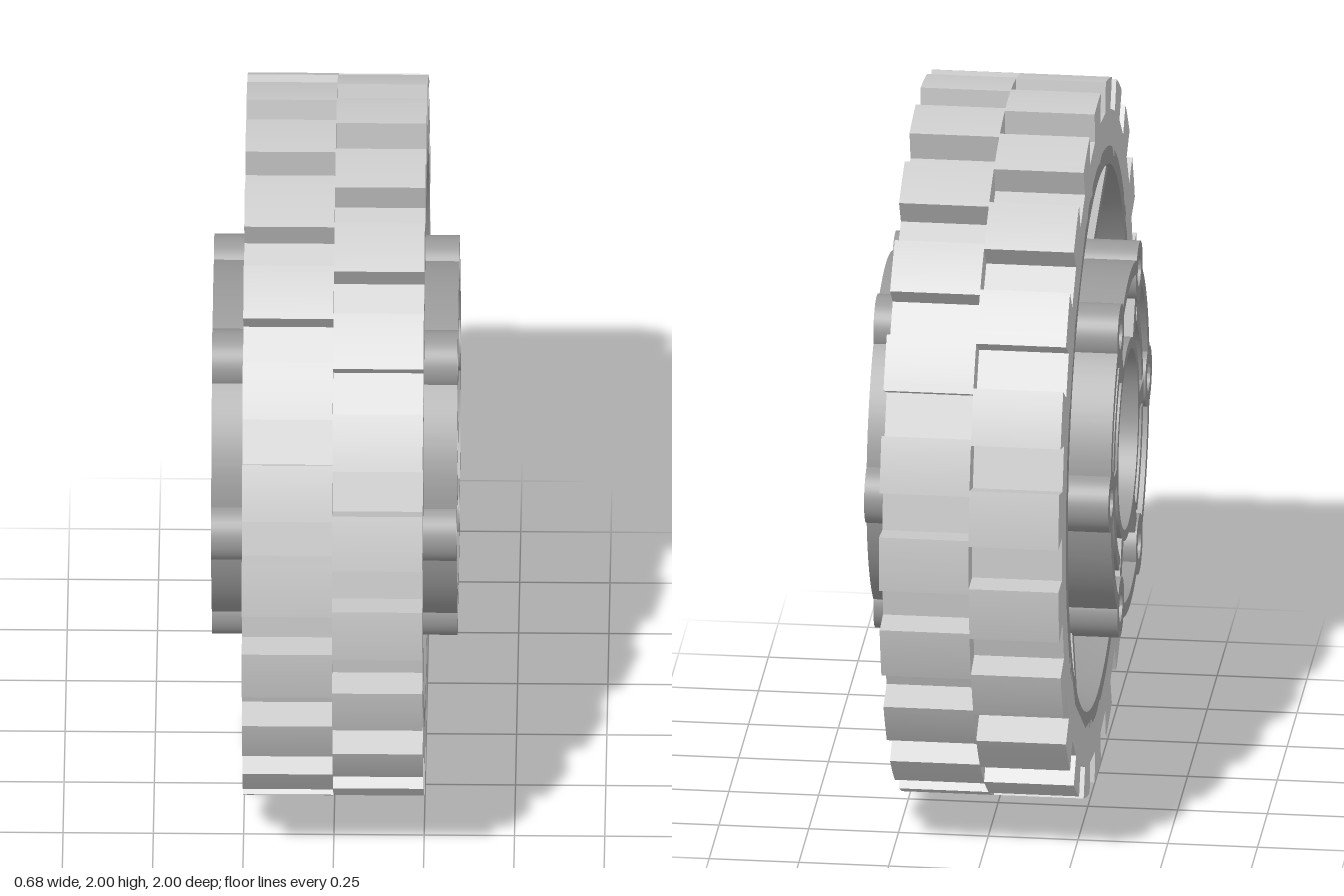
import * as THREE from 'three';
import { toCreasedNormals } from 'three/addons/utils/BufferGeometryUtils.js';

const SLOTS = 22, SIXTH = Math.PI / 3;
const tyreMat = new THREE.MeshStandardMaterial({ color: 0xcccccc });
const wheelMat = new THREE.MeshStandardMaterial({ color: 0x999999 });

// The wheel is modelled around local z and turned onto the x axis at the end.
function extrude(shape, z0, z1, curveSegments = 48) {
  const g = new THREE.ExtrudeGeometry(shape, { depth: z1 - z0, bevelEnabled: false, curveSegments });
  g.translate(0, 0, z0);
  return toCreasedNormals(g, 0.5);
}

function addMesh(parent, name, geometry, material = wheelMat) {
  const m = new THREE.Mesh(geometry, material);
  m.name = name;
  parent.add(m);
  return m;
}

function ring(ri, ro) {
  const s = new THREE.Shape();
  s.absarc(0, 0, ro, 0, Math.PI * 2, false);
  const hole = new THREE.Path();
  hole.absarc(0, 0, ri, 0, Math.PI * 2, true);
  s.holes.push(hole);
  return s;
}

function sector(ri, ro, a0, a1) {
  const s = new THREE.Shape();
  s.absarc(0, 0, ro, a0, a1, false);
  s.absarc(0, 0, ri, a1, a0, true);
  s.closePath();
  return s;
}

// One half of the tyre: a ring with square slots cut in the tread
function treadShape(offset) {
  const w = 0.063, floor = 0.91, half = Math.asin(w), pitch = Math.PI * 2 / SLOTS;
  const fr = Math.hypot(w, floor), fa = Math.atan2(w, floor);
  const s = new THREE.Shape();
  for (let i = 0; i < SLOTS; i++) {
    const a = Math.PI / 2 + offset + i * pitch;
    const p = [Math.cos(a - fa) * fr, Math.sin(a - fa) * fr];
    const q = [Math.cos(a + fa) * fr, Math.sin(a + fa) * fr];
    if (i === 0) s.moveTo(...p); else s.lineTo(...p);
    s.lineTo(...q);
    s.absarc(0, 0, 1, a + half, a + pitch - half, false);
  }
  s.closePath();
  const hole = new THREE.Path();
  hole.absarc(0, 0, 0.805, 0, Math.PI * 2, true);
  s.holes.push(hole);
  return s;
}

export function createModel() {
  const model = new THREE.Group();
  model.name = 'wheel';
  const wheel = new THREE.Group();
  wheel.name = 'wheelAssembly';
  wheel.rotation.y = Math.PI / 2;
  wheel.position.y = 1;
  model.add(wheel);

  // Tyre halves, the slots staggered by half a pitch
  addMesh(wheel, 'tyreLeftHalf', extrude(treadShape(0), 0, 0.25, 8), tyreMat);
  addMesh(wheel, 'tyreRightHalf', extrude(treadShape(Math.PI / SLOTS), -0.25, 0, 8), tyreMat);

  // Rim and thin central web with a rounded corner between them
  const side = [[0.81, 0.25], [0.76, 0.25], [0.75, 0.07], [0.74, 0.047], [0.715, 0.035], [0.515, 0.035]];
  const profile = [[0.81, -0.25], ...side, ...side.slice().reverse().map(([r, z]) => [r, -z])]
    .map(([r, z]) => new THREE.Vector2(r, z));
  const rim = new THREE.LatheGeometry(profile, 96);
  rim.rotateX(Math.PI / 2);
  addMesh(wheel, 'rimAndWeb', toCreasedNormals(rim, 0.6));

  // Hub: recessed core, bore collar and the lip inside the bore
  addMesh(wheel, 'hubCore', extrude(ring(0.265, 0.415), -0.22, 0.22));
  addMesh(wheel, 'boreCollar', extrude(ring(0.252, 0.283), -0.335, 0.335));
  addMesh(wheel, 'boreLip', extrude(ring(0.243, 0.262), -0.03, 0.03));

  // Six repeats: bolt boss, spoke, rib and the walls up to the next boss
  const bossGeo = extrude(ring(0.042, 0.085), -0.34, 0.34, 20);
  const gap = 0.125;
  const wallGeo = extrude(sector(0.455, 0.495, gap, SIXTH - gap), -0.34, 0.34, 20);
  const floorGeo = extrude(sector(0.405, 0.465, gap, SIXTH - gap), -0.22, 0.22, 20);
  const webGeo = extrude(sector(0.485, 0.525, gap, SIXTH - gap), -0.035, 0.035, 20);
  const arcGeo = extrude(sector(0.34, 0.378, 0.12, SIXTH - 0.12), -0.335, 0.335, 20);
  const plateGeo = extrude(sector(0.32, 0.41, 0.2, SIXTH - 0.2), -0.29, 0.29, 20);
  const spokeGeo = new THREE.BoxGeometry(0.125, 0.05, 0.67).translate(0.335, 0, 0);
  const ribShape = new THREE.Shape();
  [[0.54, -0.21], [0.765, -0.235], [0.765, 0.235], [0.54, 0.21]].forEach(([r, z], i) =>
    i ? ribShape.lineTo(r, z) : ribShape.moveTo(r, z));
  const ribGeo = extrude(ribShape, -0.024, 0.024);
  ribGeo.rotateX(Math.PI / 2);

  for (let i = 0; i < 6; i++) {
    const part = new THREE.Group();
    part.name = 'hubSection' + (i + 1);
    part.rotation.z = i * SIXTH;
    wheel.add(part);
    addMesh(part, 'boltBoss', bossGeo).position.x = 0.47;
    addMesh(part, 'hubWall', wallGeo);
    addMesh(part, 'hubFloor', floorGeo);
    addMesh(part, 'webInnerEdge', webGeo);
    addMesh(part, 'spoke', spokeGeo);
    addMesh(part, 'rib', ribGeo);
    // Top and bottom sections carry a broad plate, the others a narrow arc
    if (i % 3 === 1) addMesh(part, 'hubPlate', plateGeo);
    else addMesh(part, 'hubArc', arcGeo);
  }
  return model;
}
